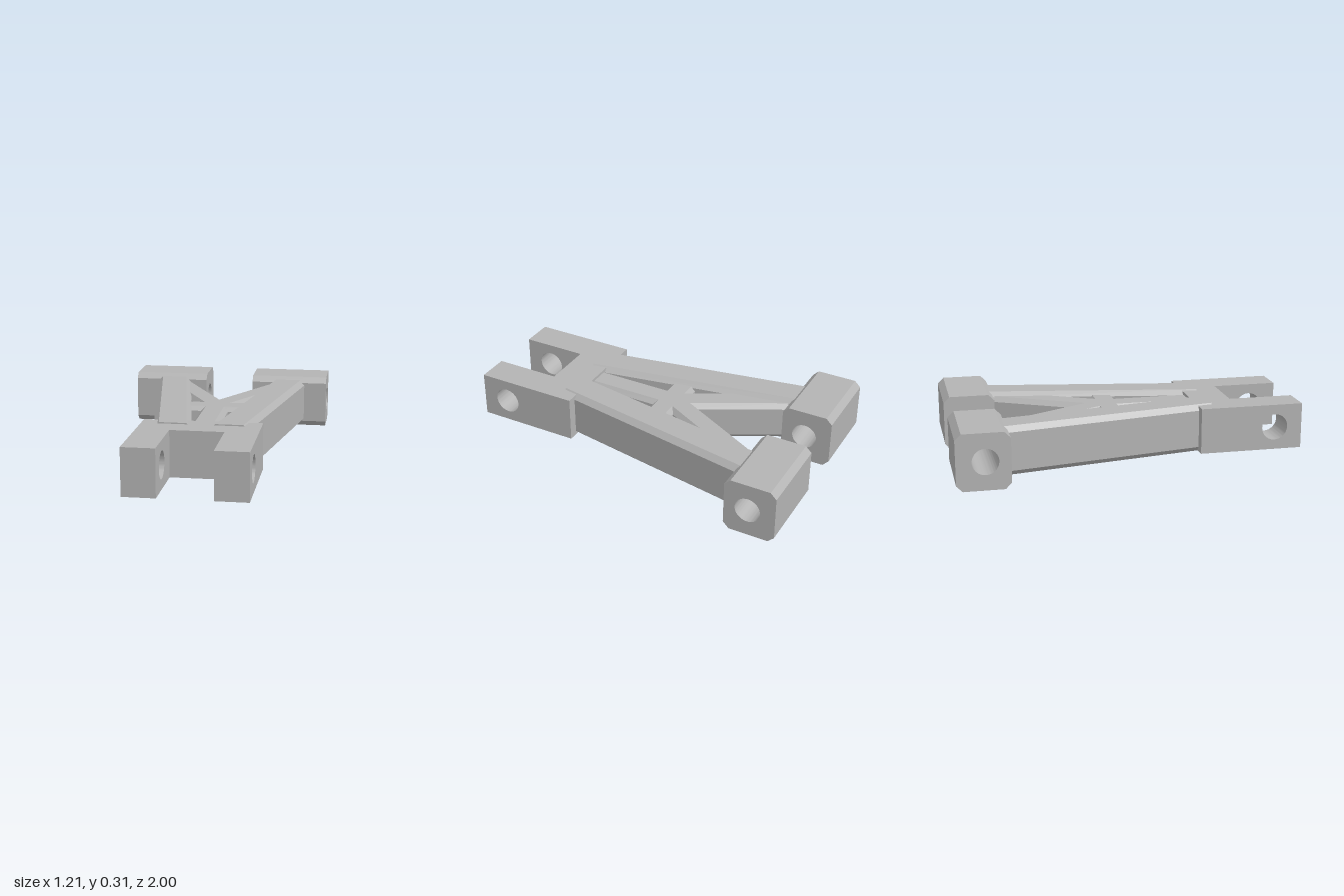
import * as THREE from 'three';
import { toCreasedNormals } from 'three/addons/utils/BufferGeometryUtils.js';

const grey = new THREE.MeshStandardMaterial({ color: 0xb3b3b3 });
grey.name = 'grey';

// Rectangle with cut corners
function chamferedRect(x0, x1, y0, y1, c) {
  const points = c === 0
    ? [[x0, y0], [x1, y0], [x1, y1], [x0, y1]]
    : [[x0 + c, y0], [x1 - c, y0], [x1, y0 + c], [x1, y1 - c],
       [x1 - c, y1], [x0 + c, y1], [x0, y1 - c], [x0, y0 + c]];
  return new THREE.Shape(points.map(([x, y]) => new THREE.Vector2(x, y)));
}

function addMesh(group, name, geometry) {
  const mesh = new THREE.Mesh(geometry, grey);
  mesh.name = name;
  group.add(mesh);
  return mesh;
}

// Chamfered bar running along z, its ends square to z, slanted from xBack to xFront
function slantedBar(xBack, zBack, xFront, zFront, halfWidth, y0, y1, chamfer) {
  const length = zFront - zBack;
  const geometry = new THREE.ExtrudeGeometry(
    chamferedRect(-halfWidth, halfWidth, y0, y1, chamfer),
    { depth: length, bevelEnabled: false });
  const pos = geometry.attributes.position;
  for (let i = 0; i < pos.count; i++) {
    const z = pos.getZ(i);
    pos.setXYZ(i, pos.getX(i) + xBack + (xFront - xBack) * z / length, pos.getY(i), z + zBack);
  }
  geometry.computeVertexNormals();
  return geometry;
}

// Block with a side profile in z/y and a round bore along x
function boredBlock(x0, x1, z0, z1, y0, y1, chamfer, holeZ, holeY, radius) {
  const profile = chamferedRect(z0, z1, y0, y1, chamfer);
  const bore = new THREE.Path();
  bore.absarc(holeZ, holeY, radius, 0, Math.PI * 2, true);
  profile.holes.push(bore);
  const geometry = new THREE.ExtrudeGeometry(profile,
    { depth: x1 - x0, bevelEnabled: false, curveSegments: 32 });
  geometry.rotateY(-Math.PI / 2);
  geometry.translate(x1, 0, 0);
  return toCreasedNormals(geometry, 0.5);
}

export function createModel() {
  const model = new THREE.Group();
  model.name = 'controlArm';

  // Rear pivot blocks
  addMesh(model, 'rearBlockLeft', boredBlock(0.14, 0.607, -1, -0.707, 0, 0.314, 0.034, -0.843, 0.157, 0.072));
  addMesh(model, 'rearBlockRight', boredBlock(-0.608, -0.157, -1, -0.707, 0, 0.314, 0.034, -0.843, 0.157, 0.072));

  // Front fork: bridge and two bored prongs
  const bridge = addMesh(model, 'forkBridge', new THREE.BoxGeometry(0.3, 0.262, 0.22));
  bridge.position.set(0, 0.157, 0.515);
  addMesh(model, 'forkProngLeft', boredBlock(0.148, 0.33, 0.405, 1, 0.026, 0.288, 0, 0.84, 0.157, 0.075));
  addMesh(model, 'forkProngRight', boredBlock(-0.33, -0.148, 0.405, 1, 0.026, 0.288, 0, 0.84, 0.157, 0.075));

  // Main arms and diagonal braces, mirrored
  for (const [side, s] of [['Left', 1], ['Right', -1]]) {
    addMesh(model, 'mainArm' + side,
      slantedBar(s * 0.372, -0.75, s * 0.155, 0.49, 0.106, 0.02, 0.295, 0.03));
    addMesh(model, 'diagonalBrace' + side,
      slantedBar(s * 0.334, -0.72, 0, -0.09, 0.085, 0.043, 0.272, 0.028));
  }

  // Cross brace and centre strut
  const cross = slantedBar(0, -0.2, 0, 0.2, 0.075, 0.043, 0.272, 0.025);
  cross.rotateY(Math.PI / 2);
  cross.translate(0, 0, -0.075);
  addMesh(model, 'crossBrace', cross);
  addMesh(model, 'centreStrut', slantedBar(0, -0.08, 0, 0.43, 0.079, 0.043, 0.272, 0.026));

  return model;
}
